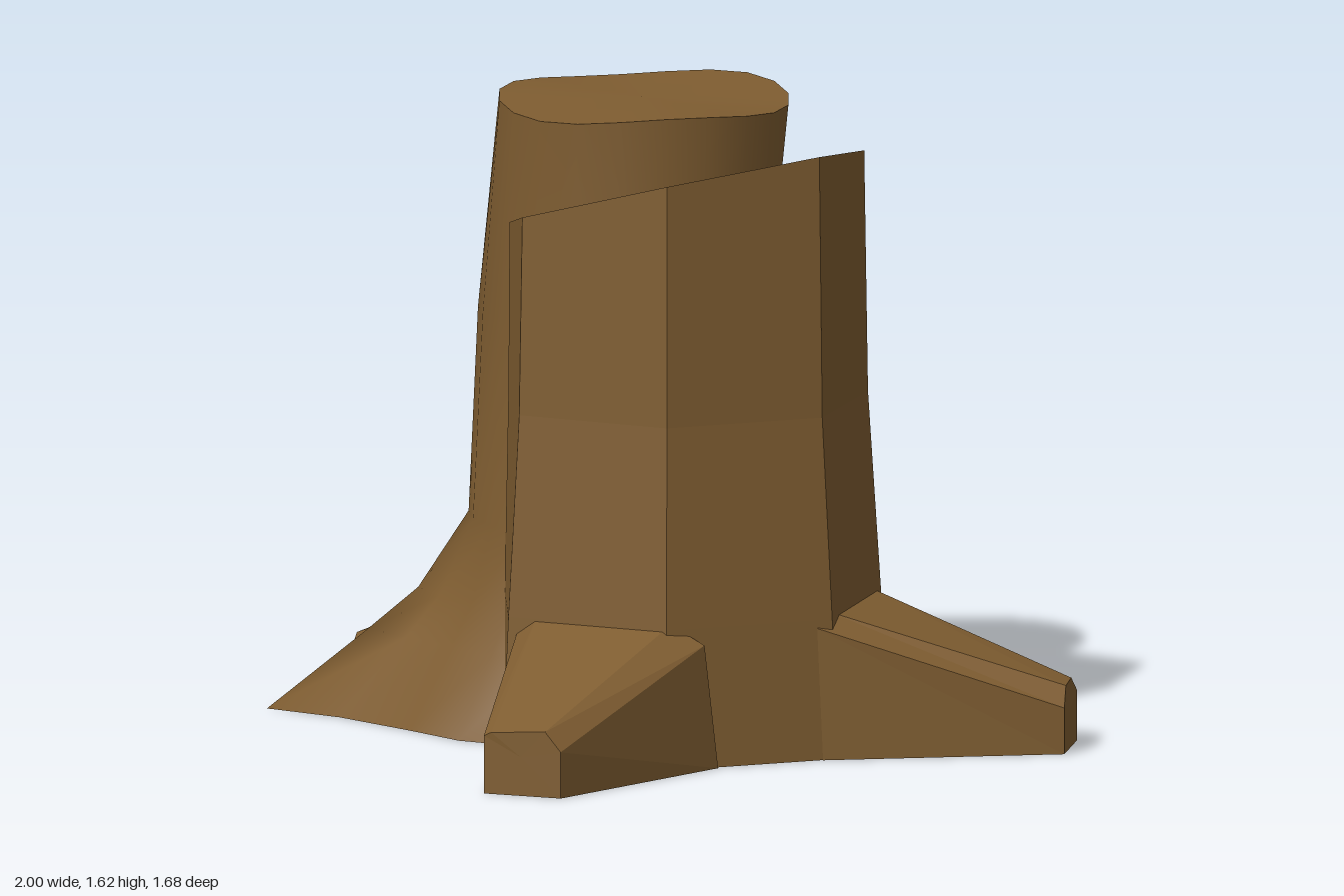
import * as THREE from 'three';

// Skin a list of cross-sections (counter-clockwise seen from the last one).
function loft(rings, { closed = true, capStart = false, capEnd = true } = {}) {
  const n = rings[0].length, pos = [], idx = [];
  rings.forEach(r => r.forEach(p => pos.push(...p)));
  for (let r = 0; r < rings.length - 1; r++) {
    for (let i = 0; i < (closed ? n : n - 1); i++) {
      const a = r * n + i, b = r * n + (i + 1) % n;
      idx.push(a, b, b + n, a, b + n, a + n);
    }
  }
  const cap = (ring, flip) => {
    const base = pos.length / 3;
    ring.forEach(p => pos.push(...p));
    pos.push(...[0, 1, 2].map(k => ring.reduce((s, p) => s + p[k], 0) / n));
    for (let i = 0; i < n; i++) {
      const j = (i + 1) % n;
      idx.push(base + n, base + (flip ? j : i), base + (flip ? i : j));
    }
  };
  if (capStart) cap(rings[0], true);
  if (capEnd) cap(rings[rings.length - 1], false);
  const g = new THREE.BufferGeometry();
  g.setAttribute('position', new THREE.Float32BufferAttribute(pos, 3));
  g.setIndex(idx);
  g.computeVertexNormals();
  return g;
}

export function createModel() {
  const group = new THREE.Group();
  const color = 0x7f5d31;
  const smooth = new THREE.MeshStandardMaterial({ color });
  const faceted = new THREE.MeshStandardMaterial({ color, flatShading: true, side: THREE.DoubleSide });
  const add = (name, geometry, material) => {
    const mesh = new THREE.Mesh(geometry, material);
    mesh.name = name;
    group.add(mesh);
  };

  // Round trunk: elliptical rings flaring into an irregular foot
  const foot = [
    [-1, .22], [-.77, .2], [-.5, .235], [-.3, .27], [-.12, .23], [.18, .24], [.22, 0],
    [.28, -.2], [.3, -.35], [.28, -.47], [.14, -.65], [-.04, -.78], [-.17, -.81],
    [-.31, -.845], [-.48, -.82], [-.63, -.74], [-.755, -.61], [-.7, -.36], [-.72, -.15], [-.8, .05],
  ];
  const ellipse = (y, cx, cz, rx, rz, wave = 0) => foot.map((_, i) => {
    const a = THREE.MathUtils.degToRad(143 - 18 * i);
    const dy = wave * (Math.sin(3 * a) - Math.cos(a));
    return [cx + rx * Math.cos(a), y + dy, cz + rz * Math.sin(a)];
  });
  const neck = ellipse(.52, -.27, -.33, .4, .39);
  const flare = (y, t) => neck.map(([x, , z], i) =>
    [x + (foot[i][0] - x) * t, y, z + (foot[i][1] - z) * t]);
  add('roundTrunk', loft([
    flare(0, 1), flare(.21, .5), flare(.32, .25), neck,
    ellipse(1.05, -.27, -.33, .38, .36),
    ellipse(1.6, -.227, -.363, .347, .407, .012),
  ], { capStart: true }), smooth);

  // Seven-sided hollow stump with a slanted rim and a shallow recess
  const heptagon = (scale, height) => Array.from({ length: 7 }, (_, i) => {
    const a = -i * Math.PI * 2 / 7;
    const x = Math.max(.065 + .487 * scale * Math.cos(a), -.32);
    const z = -.16 + .487 * scale * Math.sin(a);
    return [x, height(x), z];
  });
  const slant = x => 1.404 + .274 * x;
  add('hollowStump', loft([
    heptagon(1.13, () => 0),
    heptagon(1.09, () => .36),
    heptagon(1.02, () => .88),
    heptagon(1, slant),
    heptagon(.83, slant),
    heptagon(.83, x => slant(x) - .08),
  ]), faceted);

  // Roots: open-bottomed chamfered wedges from the wall down to a blunt tip
  const roots = {
    frontRoot: [
      [[.48, 0, .15], [.46, .32, .18], [.38, .37, .22], [0, .37, .3], [-.07, .34, .29], [-.08, 0, .28]],
      [[.49, 0, .77], [.49, .12, .77], [.45, .17, .785], [.31, .16, .835], [.29, .15, .84], [.29, 0, .84]],
    ],
    leftRoot: [
      [[.38, 0, -.61], [.38, .32, -.59], [.4, .37, -.54], [.55, .37, -.2], [.58, .34, -.12], [.6, 0, -.12]],
      [[.88, 0, -.785], [.88, .13, -.785], [.9, .17, -.74], [.97, .17, -.64], [1, .12, -.6], [1, 0, -.6]],
    ],
    trunkRoot: [
      [[-.6, 0, .06], [-.6, .28, .04], [-.6, .31, -.08], [-.6, .31, -.25], [-.6, .2, -.32], [-.6, 0, -.32]],
      [[-.93, 0, .05], [-.89, .08, .05], [-.94, .17, -.06], [-.945, .17, -.14], [-.955, .12, -.17], [-.955, 0, -.17]],
    ],
  };
  for (const [name, sections] of Object.entries(roots)) {
    add(name, loft(sections, { closed: false }), faceted);
  }
  return group;
}
